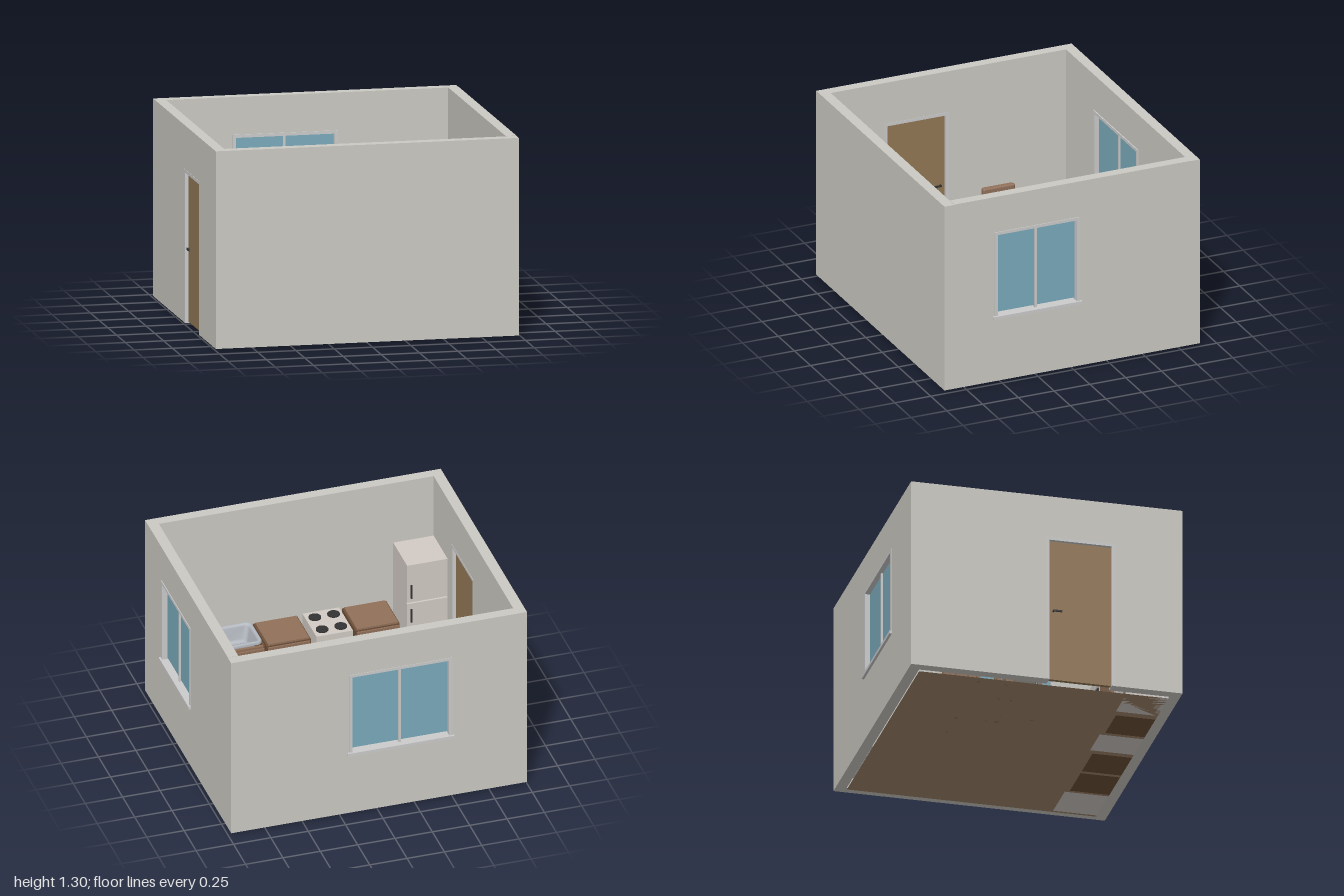
import * as THREE from 'three';
import { RoundedBoxGeometry } from 'three/addons/geometries/RoundedBoxGeometry.js';

const mat = (color, side = THREE.FrontSide) => new THREE.MeshStandardMaterial({ color, side });
const M = {
  wall: mat(0xcbc9c2), floor: mat(0xa0876a, THREE.DoubleSide), grey: mat(0xcccccc), glass: mat(0x7aaabb),
  door: mat(0x927856), wood: mat(0x90705a), darkWood: mat(0x6f5038), white: mat(0xd2cbc5),
  cushion: mat(0xc6c1b2), steel: mat(0xb4b8c0, THREE.DoubleSide), black: mat(0x333333),
};

function add(parent, name, geometry, material, x = 0, y = 0, z = 0) {
  const mesh = new THREE.Mesh(geometry, material);
  mesh.name = name;
  mesh.position.set(x, y, z);
  parent.add(mesh);
  return mesh;
}

// Box given by its minimum and maximum on each axis; r rounds the edges
function box(parent, name, material, [x0, x1], [y0, y1], [z0, z1], r = 0) {
  const s = [x1 - x0, y1 - y0, z1 - z0];
  const g = r ? new RoundedBoxGeometry(...s, 3, r) : new THREE.BoxGeometry(...s);
  return add(parent, name, g, material, (x0 + x1) / 2, (y0 + y1) / 2, (z0 + z1) / 2);
}

function group(parent, name, x = 0, y = 0, z = 0, turn = 0) {
  const g = new THREE.Group();
  g.name = name;
  g.position.set(x, y, z);
  g.rotation.y = turn;
  parent.add(g);
  return g;
}

const T = 0.07, BASE = 0.012, SIDE = -Math.PI / 2;

// Wall outline with optional window hole [u0, u1, y0, y1] or door notch [u0, u1, top]
function wallGeometry(u0, u1, top, hole, notch) {
  const s = new THREE.Shape().moveTo(u0, BASE);
  if (notch) s.lineTo(notch[0], BASE).lineTo(notch[0], notch[2]).lineTo(notch[1], notch[2]).lineTo(notch[1], BASE);
  s.lineTo(u1, BASE).lineTo(u1, top).lineTo(u0, top).closePath();
  if (hole) {
    const [a, b, c, d] = hole;
    s.holes.push(new THREE.Path().moveTo(a, c).lineTo(a, d).lineTo(b, d).lineTo(b, c).closePath());
  }
  return new THREE.ExtrudeGeometry(s, { depth: T, bevelEnabled: false });
}

// Two-pane window centred on u = 0, with frame, mullion and sill
function buildWindow(parent, name, width, x, z, turn) {
  const w = group(parent, name, x, 0, z, turn), h = width / 2, f = 0.022, d = 0.04;
  for (const s of [-1, 1]) {
    const c = s * (h - f / 2);
    box(w, 'windowJamb', M.grey, [c - f / 2, c + f / 2], [0.46, 1.05], [-d, d]);
    const g = [s * 0.006, s * (h - f)].sort((a, b) => a - b);
    box(w, 'windowPane', M.glass, g, [0.48, 1.03], [-0.006, 0.006]);
  }
  box(w, 'windowHead', M.grey, [-h + f, h - f], [1.03, 1.05], [-d, d]);
  box(w, 'windowMullion', M.grey, [-0.008, 0.008], [0.465, 1.03], [-0.018, 0.018]);
  box(w, 'windowSill', M.grey, [-h - 0.012, h + 0.012], [0.446, 0.467], [-0.053, 0.053]);
}

// Chair facing local +z, origin at the centre of the seat
function buildChair(parent, x, z, turn) {
  const c = group(parent, 'chair', x, 0, z, turn);
  box(c, 'chairSeat', M.cushion, [-0.11, 0.11], [0.2, 0.235], [-0.11, 0.11], 0.01);
  box(c, 'chairBack', M.wood, [-0.112, 0.112], [0.26, 0.46], [-0.15, -0.11], 0.012);
  for (const sx of [-0.095, 0.095]) {
    box(c, 'chairRearLeg', M.wood, [sx - 0.012, sx + 0.012], [0, 0.3], [-0.135, -0.111]);
    box(c, 'chairFrontLeg', M.wood, [sx - 0.012, sx + 0.012], [0, 0.2], [0.08, 0.104]);
  }
}

// Wooden kitchen cabinet with its door and handle towards -z
function buildCabinet(parent, x0, x1, topped) {
  const c = group(parent, 'cabinet'), mid = (x0 + x1) / 2;
  box(c, 'cabinetBody', M.darkWood, [x0, x1], [0.03, topped ? 0.42 : 0.3], [0.54, 0.82]);
  box(c, 'cabinetDoor', M.wood, [x0 + 0.008, x1 - 0.008], [0.045, 0.41], [0.528, 0.54]);
  box(c, 'cabinetPlinth', M.darkWood, [x0 + 0.01, x1 - 0.01], [0, 0.03], [0.56, 0.82]);
  box(c, 'cabinetHandle', M.black, [mid - 0.03, mid + 0.03], [0.365, 0.375], [0.518, 0.528]);
  if (topped) {
    box(c, 'cabinetTop', M.wood, [x0 + 0.01, x1 - 0.01], [0.42, 0.432], [0.54, 0.81]);
    return;
  }
  for (const [a, b] of [[x0, x0 + 0.012], [x1 - 0.012, x1]])
    box(c, 'cabinetSide', M.darkWood, [a, b], [0.3, 0.425], [0.54, 0.82]);
  box(c, 'cabinetRail', M.wood, [x0 + 0.012, x1 - 0.012], [0.3, 0.425], [0.54, 0.56]);
}

// Basin lofted through rounded rectangles: [half width, half depth, corner radius, height]
function basinGeometry(rings) {
  const pos = [], idx = [], n = 32;
  for (const [w, d, r, y] of rings)
    for (let i = 0; i < n; i++) {
      const q = Math.floor(i / 8), a = (q + (i % 8) / 7) * Math.PI / 2;
      const sx = q === 0 || q === 3 ? 1 : -1, sz = q < 2 ? 1 : -1;
      pos.push(sx * (w - r) + r * Math.cos(a), y, sz * (d - r) + r * Math.sin(a));
    }
  for (let k = 0; k < rings.length - 1; k++)
    for (let i = 0; i < n; i++) {
      const a = k * n + i, b = k * n + (i + 1) % n;
      idx.push(a, a + n, b, b, a + n, b + n);
    }
  const last = (rings.length - 1) * n;
  for (let i = 1; i < n - 1; i++) idx.push(last, last + i + 1, last + i);
  const g = new THREE.BufferGeometry();
  g.setAttribute('position', new THREE.Float32BufferAttribute(pos, 3));
  g.setIndex(idx);
  g.computeVertexNormals();
  return g;
}

export function createModel() {
  const room = new THREE.Group();
  room.name = 'kitchenRoom';

  // Shell
  const floor = add(room, 'floor', new THREE.PlaneGeometry(1.84, 1.64), M.floor, -0.01, 0, 0);
  floor.rotation.x = -Math.PI / 2;
  add(room, 'frontWall', wallGeometry(-1, 0.98, 1.295), M.wall, 0, 0, 0.825);
  add(room, 'backWall', wallGeometry(-1, 0.98, 1.295, [-0.5, 0.19, 0.46, 1.05]), M.wall, 0, 0, -0.89);
  const right = add(room, 'windowSideWall', wallGeometry(-0.82, 0.825, 1.297, [-0.05, 0.545, 0.46, 1.05]), M.wall, 0.98);
  const left = add(room, 'doorSideWall', wallGeometry(-0.82, 0.825, 1.295, null, [0, 0.45, 1.01]), M.wall, -0.93);
  right.rotation.y = left.rotation.y = SIDE;
  buildWindow(room, 'backWindow', 0.69, -0.155, -0.853, 0);
  buildWindow(room, 'sideWindow', 0.595, 0.945, 0.2475, SIDE);

  // Door with frame and lever handles on both faces
  const door = group(room, 'door', -0.965, 0, 0);
  box(door, 'doorLeaf', M.door, [-0.013, 0.013], [0.02, 0.99], [0.02, 0.43]);
  for (const z of [0, 0.43]) box(door, 'doorJamb', M.grey, [-0.037, 0.037], [BASE, 1.01], [z, z + 0.02]);
  box(door, 'doorHead', M.grey, [-0.037, 0.037], [0.99, 1.01], [0.02, 0.43]);
  for (const s of [-1, 1]) {
    const stem = add(door, 'doorHandleStem', new THREE.CylinderGeometry(0.006, 0.006, 0.02, 12), M.black, s * 0.021, 0.5, 0.05);
    stem.rotation.z = Math.PI / 2;
    add(door, 'doorLever', new THREE.BoxGeometry(0.008, 0.012, 0.06), M.black, s * 0.029, 0.5, 0.075);
  }

  // Dining table and three chairs
  const table = group(room, 'table', -0.482, 0, -0.32);
  box(table, 'tableTop', M.wood, [-0.198, 0.198], [0.355, 0.38], [-0.195, 0.195]);
  for (const x of [-0.17, 0.17]) for (const z of [-0.17, 0.17])
    box(table, 'tableLeg', M.wood, [x - 0.015, x + 0.015], [0, 0.355], [z - 0.015, z + 0.015]);
  buildChair(room, -0.745, -0.32, Math.PI / 2);
  buildChair(room, -0.215, -0.32, -Math.PI / 2);
  buildChair(room, -0.482, -0.06, Math.PI);

  // Radiator: ribs joined by two pipes
  const radiator = group(room, 'radiator');
  for (let i = 0; i < 20; i++) {
    const x = 0.424 + i * 0.0247;
    box(radiator, 'radiatorRib', M.grey, [x - 0.009, x + 0.009], [0.08, 0.36], [-0.81, -0.765], 0.006);
  }
  for (const y of [0.11, 0.33]) {
    const pipe = add(radiator, 'radiatorPipe', new THREE.CylinderGeometry(0.01, 0.01, 0.48, 12), M.grey, 0.66, y, -0.787);
    pipe.rotation.z = Math.PI / 2;
  }

  // Wooden cabinets, the last one holding the sink
  buildCabinet(room, -0.61, -0.315, true);
  buildCabinet(room, -0.015, 0.28, true);
  buildCabinet(room, 0.29, 0.583, false);
  const sink = group(room, 'sink', 0.433, 0, 0.693);
  add(sink, 'sinkBasin', basinGeometry([
    [0.137, 0.127, 0.035, 0.425], [0.137, 0.127, 0.035, 0.44], [0.131, 0.121, 0.032, 0.446],
    [0.118, 0.108, 0.03, 0.444], [0.11, 0.1, 0.03, 0.43], [0.095, 0.09, 0.03, 0.35], [0.083, 0.08, 0.02, 0.335]]), M.steel);
  add(sink, 'sinkDrain', new THREE.CylinderGeometry(0.007, 0.007, 0.004, 16), M.black, 0, 0.337, 0);

  // Stove
  const stove = group(room, 'stove');
  box(stove, 'stoveBody', M.white, [-0.295, -0.05], [0, 0.432], [0.532, 0.82]);
  box(stove, 'ovenDoor', M.black, [-0.275, -0.07], [0.1, 0.34], [0.526, 0.532]);
  box(stove, 'ovenHandle', M.grey, [-0.26, -0.085], [0.345, 0.355], [0.522, 0.532]);
  for (const x of [-0.235, -0.11]) for (const z of [0.6, 0.75])
    add(stove, 'burner', new THREE.CylinderGeometry(0.04, 0.04, 0.008, 32), M.black, x, 0.436, z);

  // Refrigerator in the corner by the door
  const fridge = group(room, 'refrigerator');
  box(fridge, 'fridgeBody', M.white, [-0.928, -0.657], [0, 0.85], [0.545, 0.82]);
  box(fridge, 'fridgeLowerDoor', M.white, [-0.928, -0.657], [0.02, 0.56], [0.53, 0.545]);
  box(fridge, 'fridgeUpperDoor', M.white, [-0.928, -0.657], [0.57, 0.85], [0.53, 0.545]);
  for (const y of [0.42, 0.6]) box(fridge, 'fridgeHandle', M.black, [-0.69, -0.68], [y, y + 0.1], [0.522, 0.53]);

  // Low white unit at the other end
  const unit = group(room, 'whiteUnit');
  box(unit, 'unitBody', M.white, [0.595, 0.892], [0, 0.432], [0.532, 0.82]);
  box(unit, 'unitFront', M.black, [0.597, 0.89], [0.36, 0.428], [0.526, 0.532]);
  box(unit, 'unitDoor', M.white, [0.605, 0.882], [0.03, 0.35], [0.526, 0.532]);
  return room;
}
